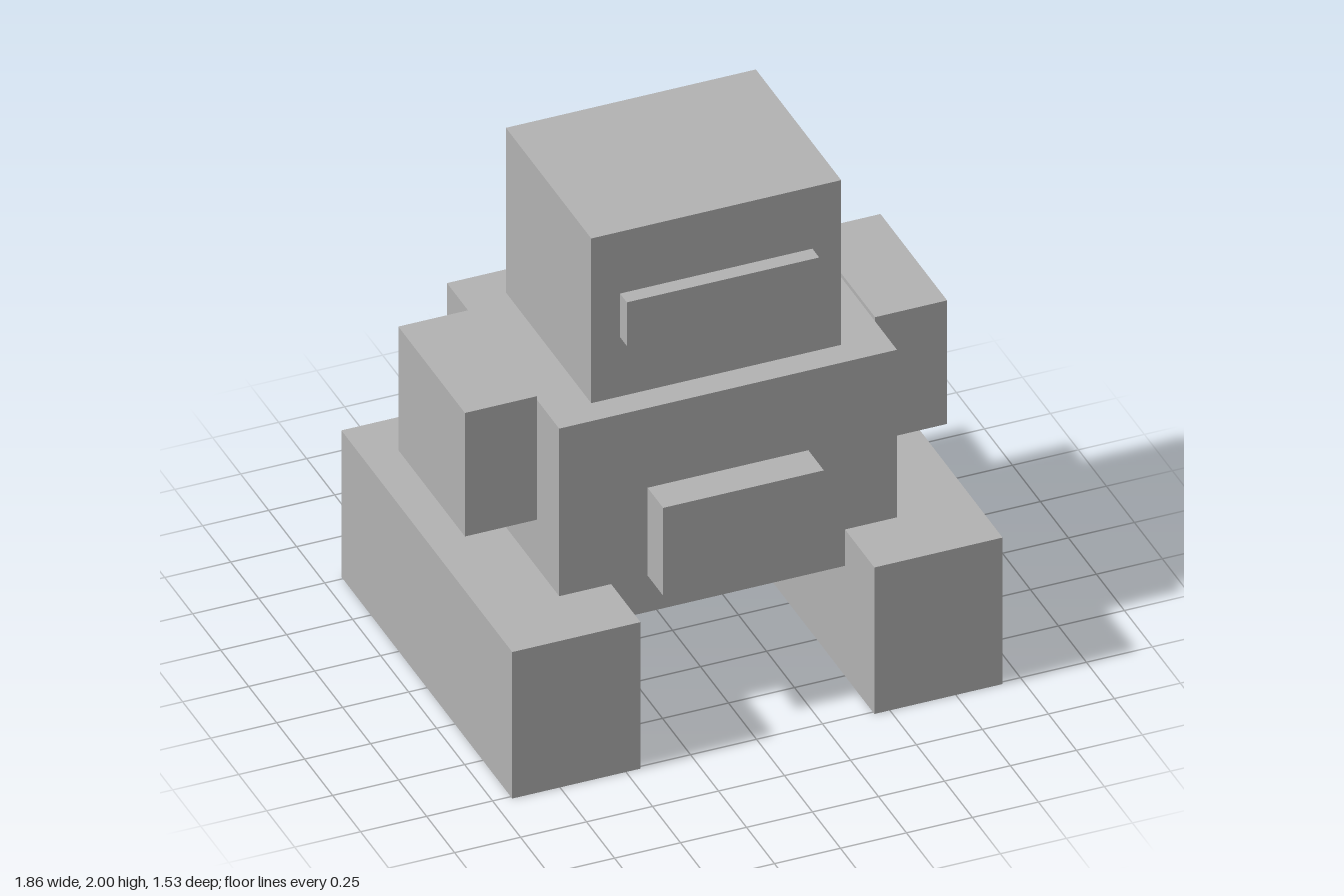
import * as THREE from 'three';

export function createModel() {
  const model = new THREE.Group();
  model.name = 'blockRobot';
  const grey = new THREE.MeshStandardMaterial({ color: 0xb2b2b2 });
  grey.name = 'grey';

  // Axis-aligned block given by its extents
  function block(name, [x0, x1], [y0, y1], [z0, z1]) {
    const mesh = new THREE.Mesh(new THREE.BoxGeometry(x1 - x0, y1 - y0, z1 - z0), grey);
    mesh.position.set((x0 + x1) / 2, (y0 + y1) / 2, (z0 + z1) / 2);
    mesh.name = name;
    model.add(mesh);
  }

  // Torso with its raised belly panel
  block('torso', [-0.642, 0.638], [0.46, 1.312], [-0.501, 0.501]);
  block('bellyPanel', [-0.307, 0.302], [0.612, 0.979], [0.501, 0.64]);

  // Head with its visor bar
  block('head', [-0.476, 0.471], [1.312, 2], [-0.366, 0.396]);
  block('visor', [-0.367, 0.362], [1.56, 1.742], [0.396, 0.457]);

  // Arms and long feet on both sides
  block('leftArm', [0.638, 0.911], [0.813, 1.329], [-0.29, 0.305]);
  block('rightArm', [-0.916, -0.642], [0.813, 1.329], [-0.29, 0.305]);
  block('leftFoot', [0.441, 0.927], [0, 0.612], [-0.763, 0.763]);
  block('rightFoot', [-0.931, -0.445], [0, 0.612], [-0.763, 0.763]);

  return model;
}
